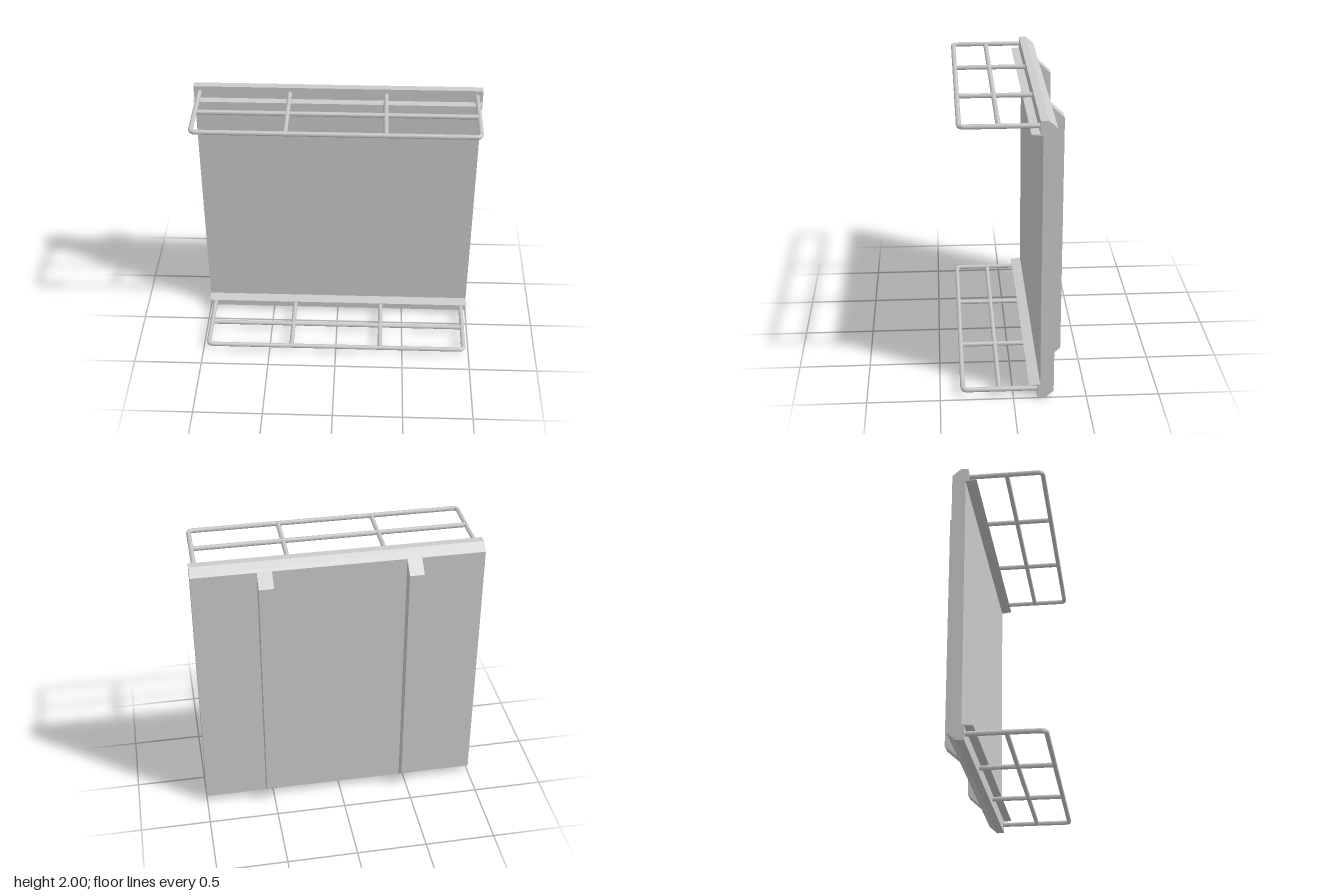
import * as THREE from 'three';

const material = new THREE.MeshStandardMaterial({ color: 0xcccccc });
const flatMaterial = new THREE.MeshStandardMaterial({ color: 0xcccccc, flatShading: true });

const ROD = 0.0165;     // rod radius
const SIDE = 0.96;      // x of the outer rods
const FRONT = 0.345;    // z of the front rod
const WALL = -0.19;     // z where rods enter the panel
const BEND = 0.03;      // corner bend radius

function add(parent, name, geometry, mat = material) {
  const mesh = new THREE.Mesh(geometry, mat);
  mesh.name = name;
  parent.add(mesh);
  return mesh;
}

// Sweep a side profile of [z, y] points along x, centred on x
function sweep(points, width, x = 0) {
  const shape = new THREE.Shape(points.map(([z, y]) => new THREE.Vector2(-z, y)));
  const geometry = new THREE.ExtrudeGeometry(shape, { depth: width, bevelEnabled: false });
  return geometry.translate(0, 0, -width / 2).rotateY(Math.PI / 2).translate(x, 0, 0);
}

function rodAlongX(from, to, z) {
  return new THREE.CylinderGeometry(ROD, ROD, to - from, 6)
    .rotateZ(Math.PI / 2).translate((from + to) / 2, 0, z);
}

function rodAlongZ(from, to, x) {
  return new THREE.CylinderGeometry(ROD, ROD, to - from, 6)
    .rotateY(Math.PI / 2).rotateX(Math.PI / 2).translate(x, 0, (from + to) / 2);
}

// Wire rack: bent outer frame with inner cross rods
function makeRack(name, y) {
  const rack = new THREE.Group();
  rack.name = name;
  rack.position.y = y;
  add(rack, 'frontRod', rodAlongX(-SIDE + BEND, SIDE - BEND, FRONT));
  add(rack, 'middleRod', rodAlongX(-SIDE, SIDE, 0.097));
  for (const s of [-1, 1]) {
    add(rack, 'sideRod', rodAlongZ(WALL, FRONT - BEND, s * SIDE));
    add(rack, 'innerRod', rodAlongZ(WALL, FRONT, s * 0.333));
    const bend = new THREE.TorusGeometry(BEND, ROD, 6, 5, Math.PI / 2).rotateX(Math.PI / 2);
    if (s < 0) bend.rotateY(-Math.PI / 2);
    add(rack, 'cornerBend', bend.translate(s * (SIDE - BEND), 0, FRONT - BEND));
  }
  return rack;
}

export function createModel() {
  const model = new THREE.Group();
  model.name = 'wallRack';

  // Back panel with bevelled rear edges and raised front lips
  add(model, 'backPanel', sweep([
    [-0.164, 0], [-0.217, 0], [-0.275, 0.052], [-0.275, 1.948], [-0.217, 2], [-0.164, 2],
    [-0.164, 1.9], [-0.182, 1.9], [-0.182, 0.1], [-0.164, 0.1],
  ], 2), flatMaterial);

  // Rear ribs continuing the bevel
  for (const s of [-1, 1]) {
    add(model, 'rearRib', sweep([
      [-0.27, 0.048], [-0.363, 0.134], [-0.363, 1.866], [-0.27, 1.952],
    ], 0.102, s * 0.508), flatMaterial);
  }

  // Thin tapered ledges along the lips
  const ledge = [[-0.182, 1.897], [-0.182, 1.911], [-0.107, 1.911], [-0.107, 1.907]];
  add(model, 'upperLedge', sweep(ledge, 2), flatMaterial);
  add(model, 'lowerLedge', sweep(ledge.map(([z, y]) => [z, 2.004 - y]), 2), flatMaterial);

  model.add(makeRack('upperRack', 1.956), makeRack('lowerRack', 0.053));
  return model;
}
